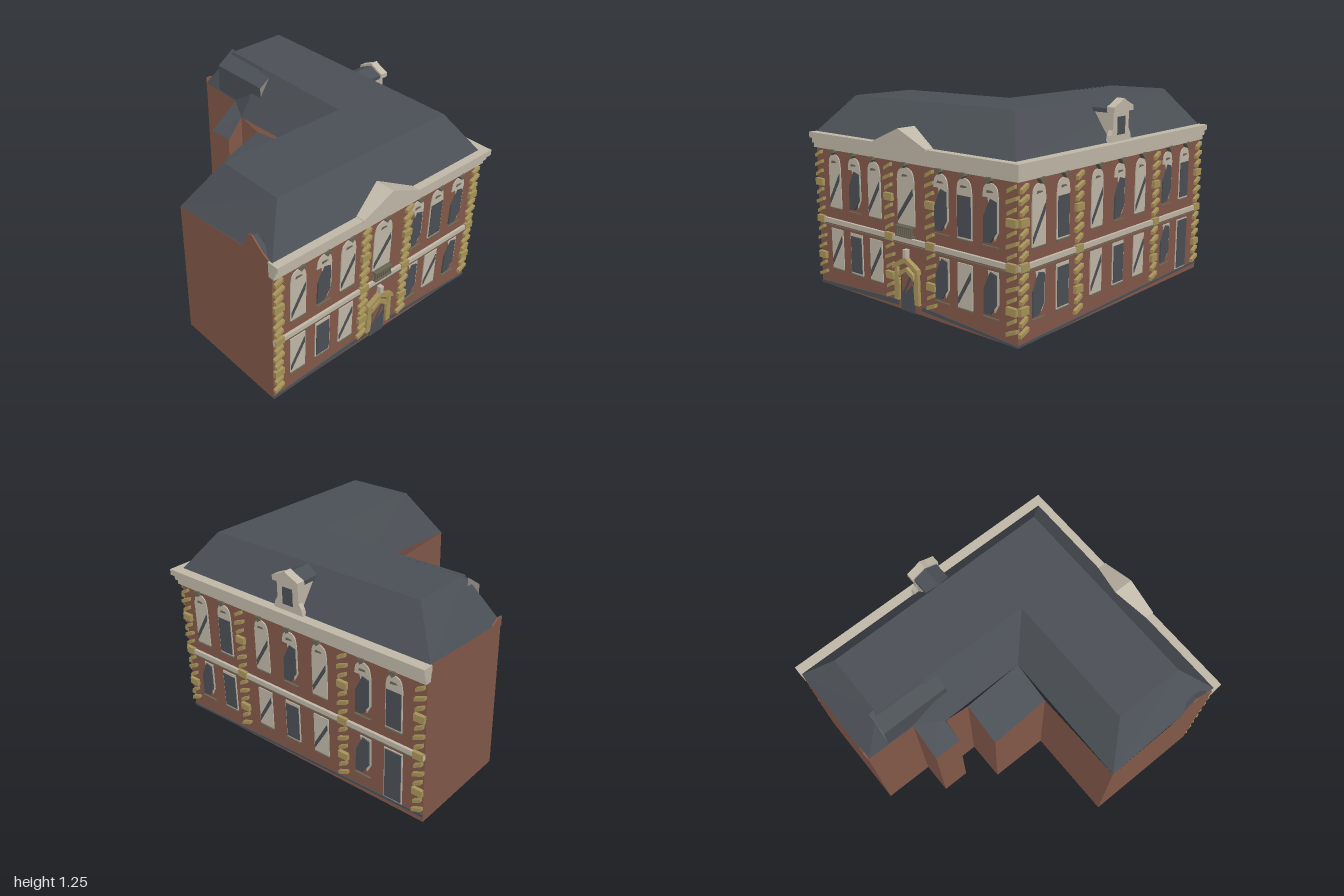
import * as THREE from 'three';

const mat = (name, color, double = true) => {
  const m = new THREE.MeshStandardMaterial({ color, flatShading: true, side: double ? THREE.DoubleSide : THREE.FrontSide });
  m.name = name;
  return m;
};

export function createModel() {
  const brick = mat('brick', 0x84594a);
  const slate = mat('slate', 0x4b5056);
  const cream = mat('cream stone', 0xc0b8a8, false);
  const tan = mat('sandstone', 0xa8945a, false);
  const dark = mat('dark stone', 0x6a6554, false);

  const model = new THREE.Group();
  model.name = 'cornerBuilding';
  const house = new THREE.Group();
  house.name = 'house';
  house.rotation.y = -0.098;
  model.add(house);

  const add = (parent, name, geometry, material) => {
    const mesh = new THREE.Mesh(geometry, material);
    mesh.name = name;
    parent.add(mesh);
    return mesh;
  };
  const box = (parent, name, material, x0, x1, y0, y1, z0, z1) =>
    add(parent, name, new THREE.BoxGeometry(x1 - x0, y1 - y0, z1 - z0), material)
      .position.set((x0 + x1) / 2, (y0 + y1) / 2, (z0 + z1) / 2);
  // Outline extruded from z0 to z1, moved sideways by u
  const plate = (parent, name, material, pts, z0, z1, u = 0) => {
    const shape = new THREE.Shape(pts.map(p => new THREE.Vector2(p[0], p[1])));
    const g = new THREE.ExtrudeGeometry(shape, { depth: z1 - z0, bevelEnabled: false });
    add(parent, name, g.translate(u, 0, z0), material);
  };
  // Flat four-sided faces
  const quads = (name, material, list) => {
    const pos = [];
    for (const [a, b, c, d] of list) pos.push(...a, ...b, ...c, ...a, ...c, ...d);
    const g = new THREE.BufferGeometry();
    g.setAttribute('position', new THREE.Float32BufferAttribute(pos, 3));
    g.computeVertexNormals();
    add(house, name, g, material);
  };

  // Walls: outline as x, top, z
  const outline = [
    [-0.87, 1, 0.86], [0.81, 1, 0.86], [0.81, 1, -1.02], [0.11, 0.96, -1.02],
    [0.11, 0.95, -0.69], [-0.095, 0.79, -0.69], [-0.095, 0.8, -0.51], [0.02, 0.93, -0.51],
    [0.02, 0.89, -0.346], [-0.245, 0.79, -0.346], [-0.245, 0.87, 0.05], [-0.87, 0.92, 0.05]];
  quads('walls', brick, outline.map((a, i) => {
    const b = outline[(i + 1) % outline.length];
    return [[a[0], 0, a[2]], [b[0], 0, b[2]], b, a];
  }));

  // Hipped roof from eave loop to ridge loop
  const eave = [
    [-0.865, 1, 0.858], [0.79, 1, 0.858], [0.79, 1, -1.02], [0.11, 0.96, -1.02],
    [0.11, 0.95, -0.69], [0.02, 0.93, -0.51], [0.02, 0.95, 0.05], [-0.87, 0.92, 0.05]];
  const ridge = [
    [-0.68, 1.225, 0.683], [0.635, 1.235, 0.683], [0.628, 1.24, -0.833], [0.214, 1.235, -0.833],
    [0.212, 1.235, -0.69], [0.21, 1.234, -0.51], [0.2, 1.232, 0.226], [-0.68, 1.225, 0.226]];
  const slopes = eave.map((a, i) => {
    const j = (i + 1) % eave.length;
    return [a, eave[j], ridge[j], ridge[i]];
  });
  quads('mainRoof', slate, [...slopes,
    [ridge[0], ridge[1], ridge[6], ridge[7]], [ridge[1], ridge[2], ridge[3], ridge[6]]]);
  quads('annexRoof', slate, [[
    [-0.245, 0.79, -0.346], [-0.245, 0.87, 0.05], [0.02, 0.95, 0.05], [0.02, 0.89, -0.346]]]);
  quads('turretRoof', slate, [[
    [-0.095, 0.79, -0.69], [-0.095, 0.8, -0.51], [0.11, 0.95, -0.51], [0.11, 0.95, -0.69]]]);

  // Wide rear dormer
  const p = [-0.87, -0.42].map(z => [[0.113, 0.94, z], [0.113, 1.15, z], [0.237, 1.236, z], [0.237, 0.94, z]]);
  quads('rearDormer', slate, [[p[0][0], p[1][0], p[1][1], p[0][1]], [p[0][1], p[1][1], p[1][2], p[0][2]]]);
  quads('rearDormerCheeks', mat('cheek grey', 0x8e8b82), [p[0], p[1]]);

  // Parapet stubs at the two roof ends
  const end = new THREE.Group();
  end.name = 'leftParapet';
  end.position.x = -0.87;
  end.rotation.y = -Math.PI / 2;
  house.add(end);
  plate(end, 'leftParapetWall', brick, [[0.6, 0.94], [0.86, 0.99], [0.79, 1.02], [0.7, 1.09], [0.67, 1.08]], -0.01, 0);
  plate(end, 'leftParapetSlate', slate, [[0.6, 0.96], [0.82, 1.0], [0.7, 1.085]], -0.04, -0.011);
  plate(house, 'rearParapetWall', brick, [[0.11, 0.94], [0.2, 0.97], [0.15, 1.0], [0.11, 1.0]], -1.025, -1.015);

  // Windows: bar, pane and slanted pane kinds
  const win = (f, kind, u, y0, y1, w, arched) => {
    const h = w / 2, H = y1 - y0, at = t => y0 + t * H;
    if (kind !== 'C') box(f, 'windowFrame', cream, u - h, u + h, y0, y1, -0.008, 0.006);
    else plate(f, 'windowFrame', cream, [[h * 0.5, at(0.1)], [h, at(0.3)], [h, y1], [-h * 0.4, y1]], -0.008, 0.004, u);
    const panes = {
      A: [[-h * 0.9, at(0.08)], [-h * 0.9, at(0.22)], [h * 0.85, at(0.86)], [h * 0.85, at(0.7)]],
      B: [[-h * 0.88, at(0.04)], [h * 0.88, at(0.04)], [h * 0.88, at(0.93)], [-h * 0.88, at(0.93)]],
      C: [[-h * 0.9, at(0.04)], [0, at(0.06)], [h * 0.8, at(0.3)], [h * 0.8, at(0.93)], [0, at(0.98)], [-h * 0.85, at(0.6)]],
    };
    plate(f, 'windowPane', slate, panes[kind], -0.012, 0.01, u);
    box(f, 'windowSill', dark, u - h, u + h, y0 - 0.008, y0 - 0.002, -0.005, 0.012);
    if (!arched) return;
    const arc = [[-h, y1]];
    for (let i = 0; i <= 8; i++) {
      const a = Math.PI * (1 - i / 8);
      arc.push([h * 0.92 * Math.cos(a), y1 + 0.03 + 0.05 * Math.sin(a)]);
    }
    plate(f, 'windowArch', cream, [...arc, [h, y1]], -0.008, 0.007, u);
    plate(f, 'archOrnament', dark, [[-0.025, y1 + 0.025], [0.025, y1 + 0.03], [0.015, y1 + 0.038], [-0.02, y1 + 0.04]], 0, 0.011, u);
    plate(f, 'keystone', dark, [[-0.025, 0.9], [0.0, 0.868], [0.022, 0.885], [0.02, 0.905]], -0.01, 0.03, u);
  };

  // Column of slanted corner stones
  const quoins = (f, u) => {
    for (let i = 0; i < 14; i++) {
      const y = 0.08 + i * 0.06, w = i % 2 ? 0.026 : 0.034;
      const full = i % 4 === 2;
      plate(f, 'quoin', tan, full
        ? [[-w, y - 0.022], [w, y - 0.022], [w, y + 0.022], [-w, y + 0.022]]
        : [[-w, y - 0.025], [w, y + 0.004], [w, y + 0.026], [-w, y - 0.002]], -0.012, 0.022, u);
    }
  };

  // One street facade: u0..u1 wide, corner overhang per side
  const facade = (name, u0, u1, over0, over1, out, cols, uppers, lowers, quoinAt) => {
    const f = new THREE.Group();
    f.name = name;
    house.add(f);
    box(f, 'beltCourse', cream, u0, u1, 0.425, 0.455, -0.005, 0.018);
    box(f, 'beltShadowMould', dark, u0 + 0.02, u1 - 0.02, 0.405, 0.411, -0.003, 0.008);
    [[0.9, 0.93, 0.4], [0.93, 0.963, 0.65], [0.963, 1.0, 1]].forEach(([a, b, k]) =>
      box(f, 'cornice', cream, u0 - over0 * k, u1 + over1 * k, a, b, -0.025, out * k));
    cols.forEach((u, i) => {
      const big = uppers[i] === 'D';
      win(f, big ? 'A' : uppers[i], u, 0.53, 0.79, big ? 0.145 : 0.113, true);
      if ('ABC'.includes(lowers[i])) win(f, lowers[i], u, 0.13, 0.39, 0.113, false);
    });
    quoinAt.forEach(u => quoins(f, u));
    return f;
  };

  const front = facade('frontFacade', -0.87, 0.81, 0.005, 0.043, 0.05,
    [-0.69, -0.5, -0.315, -0.036, 0.252, 0.432, 0.623], 'ACADCBC', 'ABA-CAC', [-0.835, -0.18, 0.17, 0.777]);
  front.position.z = 0.86;
  const right = facade('rightFacade', -0.86, 1.02, 0.05, 0.008, 0.043,
    [-0.695, -0.485, -0.167, 0.06, 0.287, 0.6, 0.813], 'ABACACB', 'CBABAC-', [-0.825, -0.345, 0.46, 0.985]);
  right.position.x = 0.81;
  right.rotation.y = Math.PI / 2;

  // Sloping plinths
  plate(front, 'plinthLeft', slate, [[-0.87, 0.0], [-0.12, 0.022], [-0.12, 0.055], [-0.87, 0.018]], -0.004, 0.006);
  plate(front, 'plinthRight', slate, [[0.08, 0.03], [0.81, 0.0], [0.81, 0.012], [0.08, 0.055]], -0.004, 0.006);
  plate(right, 'plinthSide', slate, [[-0.86, 0.0], [1.02, 0.035], [1.02, 0.05], [-0.86, 0.014]], -0.004, 0.006);

  // Front pediment above the cornice
  plate(front, 'pediment', cream, [[-0.225, 0.99], [0.225, 0.99], [0.225, 1.003], [0, 1.1], [-0.225, 1.003]], -0.12, 0.055, -0.036);

  // Entrance portal
  const door = new THREE.Group();
  door.name = 'entrance';
  door.position.x = -0.036;
  front.add(door);
  plate(door, 'doorLeaf', slate, [[-0.06, 0], [0.06, 0], [0.06, 0.19], [0.035, 0.24], [-0.035, 0.24], [-0.06, 0.19]], -0.01, 0.008);
  plate(door, 'doorPanel', brick, [[-0.045, 0.09], [0.045, 0.17], [0.045, 0.23], [-0.03, 0.235], [-0.045, 0.2]], 0.008, 0.011);
  plate(door, 'doorBar', slate, [[-0.045, 0.1], [0.03, 0.23], [0.045, 0.23], [-0.03, 0.1]], 0.011, 0.014);
  for (const s of [-1, 1]) {
    plate(door, 'doorJamb', tan, [[s * 0.105, 0.06], [s * 0.07, 0.06], [s * 0.062, 0.16], [s * 0.08, 0.27], [s * 0.1, 0.25]], -0.01, 0.02);
    plate(door, 'doorGable', tan, [[s * 0.11, 0.25], [s * 0.105, 0.28], [0, 0.34], [0, 0.305]], -0.01, 0.03);
    plate(door, 'doorArch', tan, [[s * 0.07, 0.2], [s * 0.06, 0.24], [0, 0.275], [0, 0.25]], -0.01, 0.022);
  }
  box(door, 'portalKeystone', cream, -0.014, 0.014, 0.335, 0.385, -0.005, 0.03);

  // Small balcony under the middle window
  box(door, 'balconyRail', dark, -0.068, 0.068, 0.517, 0.526, 0, 0.035);
  box(door, 'balconyBase', dark, -0.068, 0.068, 0.462, 0.472, 0, 0.035);
  for (let i = 0; i < 8; i++)
    box(door, 'baluster', dark, -0.066 + i * 0.0175, -0.056 + i * 0.0175, 0.472, 0.517, 0.018, 0.03);

  // Side doorway
  box(right, 'sideDoorFrame', cream, 0.75, 0.876, 0.05, 0.39, -0.008, 0.006);
  box(right, 'sideDoor', slate, 0.757, 0.869, 0.058, 0.383, -0.012, 0.01);

  // Gabled dormer above the side cornice
  const dormer = new THREE.Group();
  dormer.name = 'sideDormer';
  dormer.position.x = 0.062;
  right.add(dormer);
  box(dormer, 'dormerBody', cream, -0.075, 0.075, 1.0, 1.17, -0.17, -0.03);
  plate(dormer, 'dormerFront', cream, [[-0.11, 1.0], [0.11, 1.0], [0.1, 1.04], [0.08, 1.07], [0.08, 1.18], [-0.08, 1.18], [-0.08, 1.07], [-0.1, 1.04]], -0.03, 0);
  plate(dormer, 'dormerRoof', slate, [[-0.085, 1.17], [0.085, 1.17], [0.085, 1.195], [0, 1.235], [-0.085, 1.195]], -0.18, -0.035);
  plate(dormer, 'dormerGable', cream, [[-0.098, 1.175], [0.098, 1.175], [0.098, 1.205], [0.03, 1.235], [0, 1.252], [-0.03, 1.235], [-0.098, 1.205]], -0.035, 0.018);
  box(dormer, 'dormerWindow', slate, -0.037, 0.037, 1.04, 1.145, -0.01, 0.005);

  return model;
}
